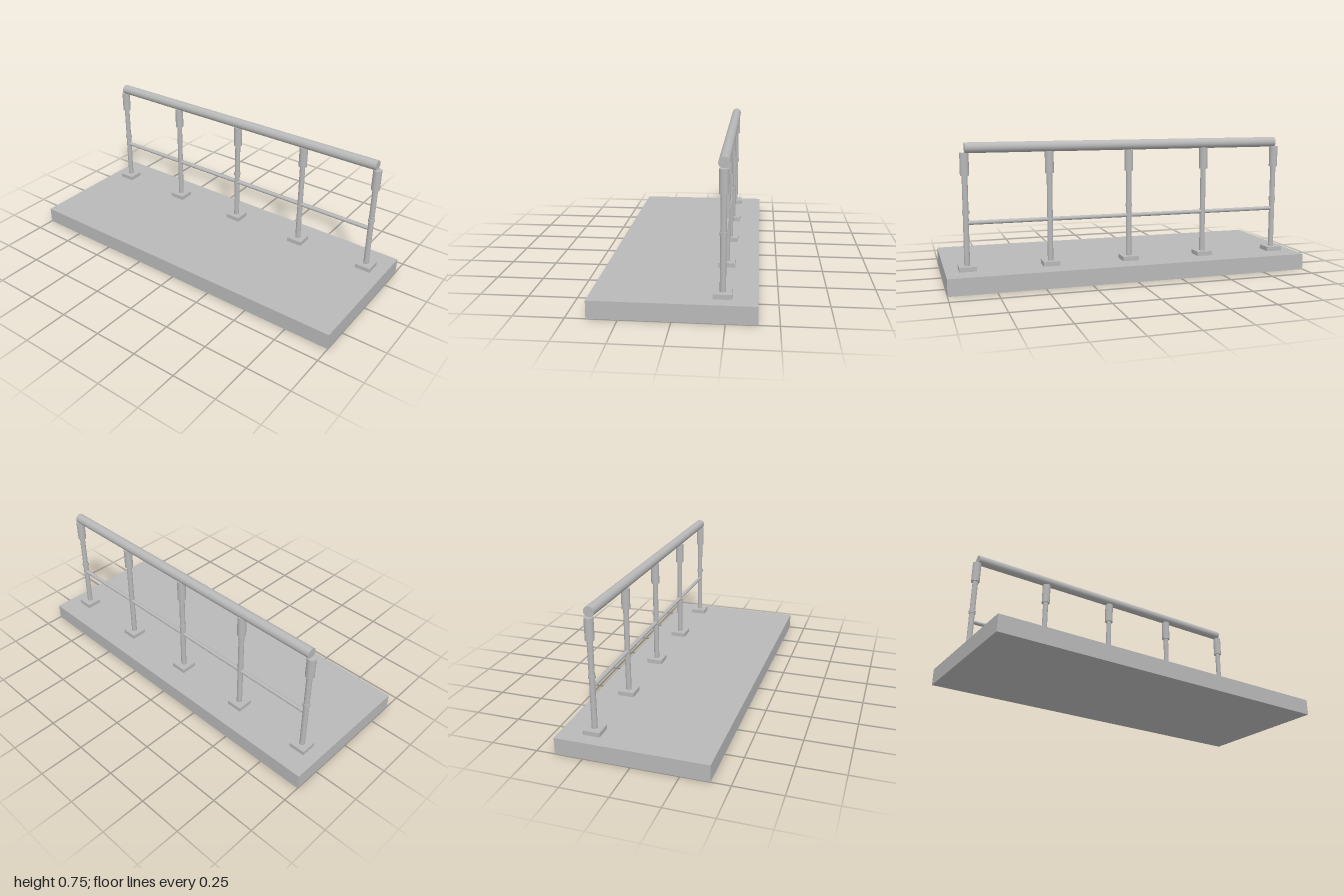
import * as THREE from 'three';

export function createModel() {
  const model = new THREE.Group();
  const grey = new THREE.MeshStandardMaterial({ color: 0xb8b8b8 });
  grey.name = 'grey';
  const railZ = -0.232;

  const add = (parent, name, geometry, x, y, z) => {
    const mesh = new THREE.Mesh(geometry, grey);
    mesh.name = name;
    mesh.position.set(x, y, z);
    parent.add(mesh);
    return mesh;
  };
  // Upright cylinder between two heights
  const upright = (parent, name, radius, y0, y1) =>
    add(parent, name, new THREE.CylinderGeometry(radius, radius, y1 - y0, 32), 0, (y0 + y1) / 2, 0);
  // Horizontal bar along x
  const bar = (name, radius, length, y) => {
    add(model, name, new THREE.CylinderGeometry(radius, radius, length, 32), 0, y, railZ).rotation.z = Math.PI / 2;
  };

  // Floor slab
  add(model, 'slab', new THREE.BoxGeometry(2, 0.09, 0.8), 0, 0.045, 0);

  // Five posts; every second one carries a collar
  for (let i = 0; i < 5; i++) {
    const post = new THREE.Group();
    post.name = 'post';
    post.position.set((i - 2) * 0.442, 0, railZ);
    add(post, 'basePlate', new THREE.BoxGeometry(0.09, 0.024, 0.09), 0, 0.102, 0);
    upright(post, 'postTube', 0.015, 0.11, 0.59);
    upright(post, 'sleeve', 0.0235, 0.585, 0.702);
    if (i % 2 === 0) upright(post, 'collar', 0.019, 0.387, 0.404);
    model.add(post);
  }

  // Handrail and middle rail
  bar('handrail', 0.0277, 1.764, 0.727);
  bar('middleRail', 0.011, 1.764, 0.339);

  return model;
}
